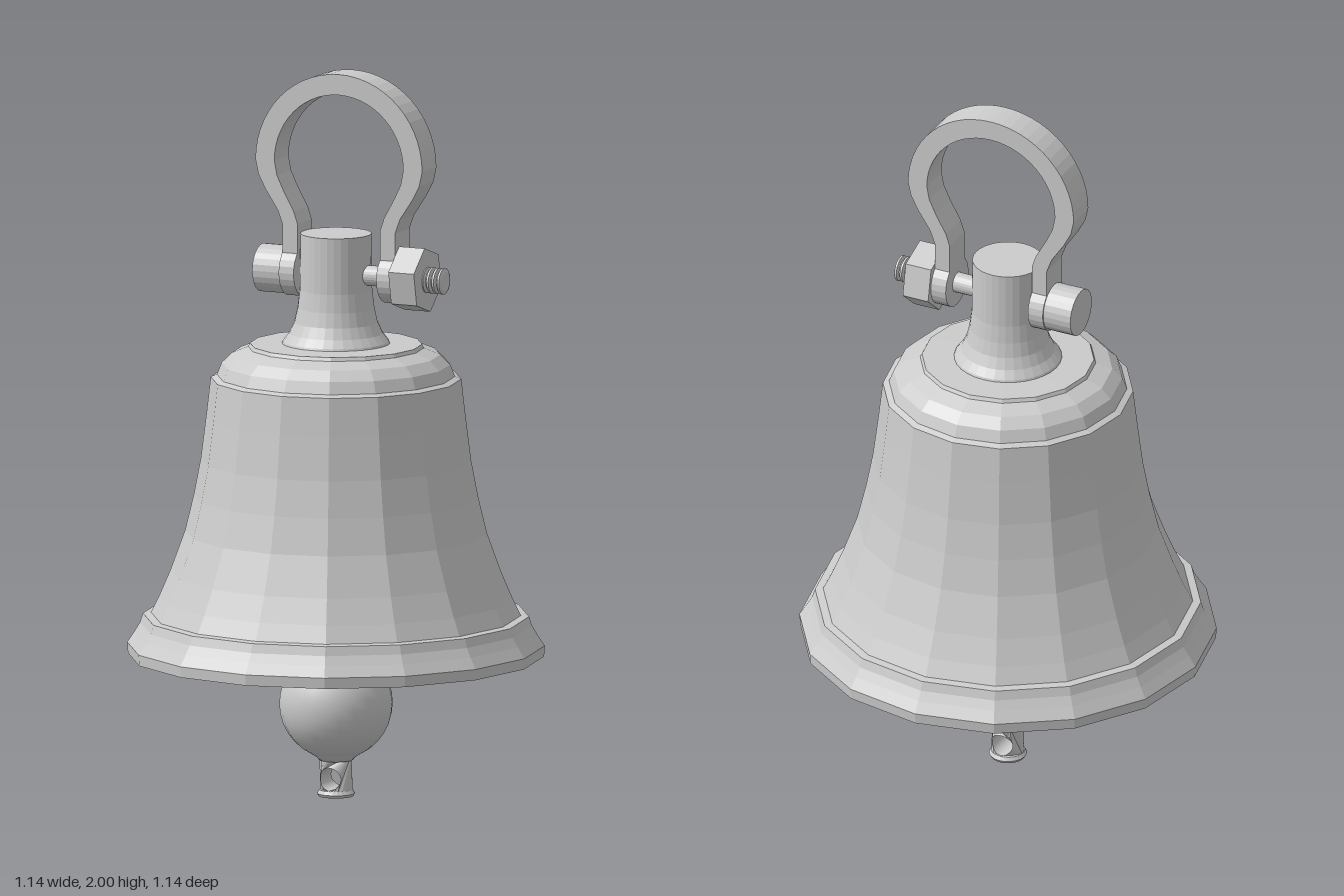
import * as THREE from 'three';

const material = new THREE.MeshStandardMaterial({ color: 0xcccccc, flatShading: true });
const smooth = new THREE.MeshStandardMaterial({ color: 0xcccccc });
const BOLT_Y = 1.445, SHACKLE_X = 0.03;

function add(parent, name, geometry, mat = material) {
  const mesh = new THREE.Mesh(geometry, mat);
  mesh.name = name;
  parent.add(mesh);
  return mesh;
}

const lathe = (points, sides) =>
  new THREE.LatheGeometry(points.map(([r, y]) => new THREE.Vector2(r, y)), sides);

// Cylinder along x between two positions, at bolt height
function rod(parent, name, x0, x1, radius, sides = 24) {
  const geometry = new THREE.CylinderGeometry(radius, radius, x1 - x0, sides);
  geometry.rotateZ(-Math.PI / 2);
  const mesh = add(parent, name, geometry);
  mesh.position.set((x0 + x1) / 2, BOLT_Y, 0);
  return mesh;
}

// Flat horseshoe band: half outline mirrored about its centre line
function shackleBand() {
  const half = (leg, radius) => {
    const points = leg.map(([x, y]) => new THREE.Vector2(x, y));
    for (let i = 0; i <= 14; i++) {
      const a = (i / 14) * Math.PI / 2;
      points.push(new THREE.Vector2(radius * Math.cos(a), 1.75 + radius * Math.sin(a)));
    }
    return points;
  };
  const full = (points) => [...points,
    ...points.slice(0, -1).reverse().map((p) => new THREE.Vector2(-p.x, p.y))];
  const outer = full(half([[0.17, 1.45], [0.17, 1.575], [0.185, 1.615], [0.222, 1.67], [0.243, 1.71]], 0.252));
  const inner = full(half([[0.125, 1.45], [0.125, 1.58], [0.137, 1.615], [0.168, 1.67], [0.187, 1.71]], 0.195));
  const shape = new THREE.Shape([...outer, ...inner.reverse()]);
  const geometry = new THREE.ExtrudeGeometry(shape, { depth: 0.09, bevelEnabled: false });
  return geometry.translate(SHACKLE_X, 0, -0.045);
}

// Round stub pierced front to back: a holed plate whose faces are bent onto a cylinder
function clapperEye() {
  const radius = 0.046, columns = 12, outline = [];
  const column = (i) => -radius * Math.cos((i / columns) * Math.PI);
  for (let i = 0; i <= columns; i++) outline.push(new THREE.Vector2(column(i), 0.01));
  for (let i = columns; i >= 0; i--) outline.push(new THREE.Vector2(column(i), 0.115));
  const shape = new THREE.Shape(outline);
  shape.holes.push(new THREE.Path().absarc(0, 0.052, 0.031, 0, Math.PI * 2, true));
  const geometry = new THREE.ExtrudeGeometry(shape, { depth: 1, bevelEnabled: false, curveSegments: 20 });
  const p = geometry.attributes.position;
  for (let i = 0; i < p.count; i++) {
    const z = Math.sqrt(Math.max(radius * radius - p.getX(i) ** 2, 1e-6));
    p.setZ(i, p.getZ(i) > 0.5 ? z : -z);
  }
  geometry.computeVertexNormals();
  return geometry;
}

export function createModel() {
  const model = new THREE.Group();
  model.name = 'bell';

  // Sixteen-sided hollow body, from the inner crown down to the rim and up the outside
  add(model, 'bellBody', lathe([
    [0, 1.2], [0.22, 1.2], [0.29, 1.16], [0.32, 1.1], [0.345, 0.92], [0.385, 0.73],
    [0.43, 0.61], [0.485, 0.5], [0.51, 0.47], [0.545, 0.42], [0.55, 0.39],
    [0.568, 0.39], [0.57, 0.42], [0.55, 0.45], [0.535, 0.475], [0.527, 0.5], [0.505, 0.503],
    [0.482, 0.55], [0.452, 0.62], [0.412, 0.73], [0.388, 0.83], [0.369, 0.93], [0.354, 1.05],
    [0.342, 1.155], [0.325, 1.162], [0.312, 1.195], [0.285, 1.222], [0.24, 1.24],
    [0.235, 1.25], [0, 1.256],
  ], 16));

  // Hanging neck with a flared foot
  add(model, 'neck', lathe([
    [0.148, 1.25], [0.145, 1.258], [0.128, 1.28], [0.114, 1.31], [0.105, 1.35],
    [0.099, 1.4], [0.097, 1.555], [0, 1.555],
  ], 32));

  // Clapper: rod, ball and pierced tip
  const clapper = new THREE.Group();
  clapper.name = 'clapper';
  model.add(clapper);
  const ball = [[0, 0.1], [0.046, 0.1], [0.055, 0.11], [0.085, 0.128]];
  for (let i = 0; i <= 12; i++) {
    const a = -0.9 + (i / 12) * 2.15;
    ball.push([0.155 * Math.cos(a), 0.257 + 0.155 * Math.sin(a)]);
  }
  add(clapper, 'clapperBall', lathe([...ball, [0.048, 0.42], [0.048, 1.21]], 24), smooth);
  add(clapper, 'clapperEye', clapperEye());
  add(clapper, 'clapperTipRim', lathe([[0, 0], [0.047, 0], [0.052, 0.008], [0.046, 0.018], [0, 0.018]], 24));

  // Shackle with an eye at the end of each leg
  const shackle = new THREE.Group();
  shackle.name = 'shackle';
  model.add(shackle);
  add(shackle, 'shackleBand', shackleBand());
  for (const side of [-1, 1]) {
    const inner = SHACKLE_X + side * 0.125, outer = SHACKLE_X + side * 0.17;
    rod(shackle, side < 0 ? 'rightEye' : 'leftEye', Math.min(inner, outer), Math.max(inner, outer), 0.07);
  }

  // Bolt through the neck, with round head, hexagonal nut and threaded end
  const bolt = new THREE.Group();
  bolt.name = 'bolt';
  model.add(bolt);
  rod(bolt, 'boltHead', -0.222, -0.14, 0.066);
  rod(bolt, 'boltPin', -0.14, 0.28, 0.028);
  rod(bolt, 'nut', 0.2, 0.277, 0.092, 6).rotation.x = Math.PI / 2 + 0.2;
  const thread = [[0, 0]];
  for (let i = 0; i < 4; i++) {
    const y = i * 0.016;
    thread.push([0.027, y], [0.036, y + 0.004], [0.036, y + 0.01], [0.027, y + 0.014]);
  }
  thread.push([0, 0.062]);
  const threadMesh = add(bolt, 'thread', lathe(thread, 20).rotateZ(-Math.PI / 2));
  threadMesh.position.set(0.27, BOLT_Y, 0);

  return model;
}
